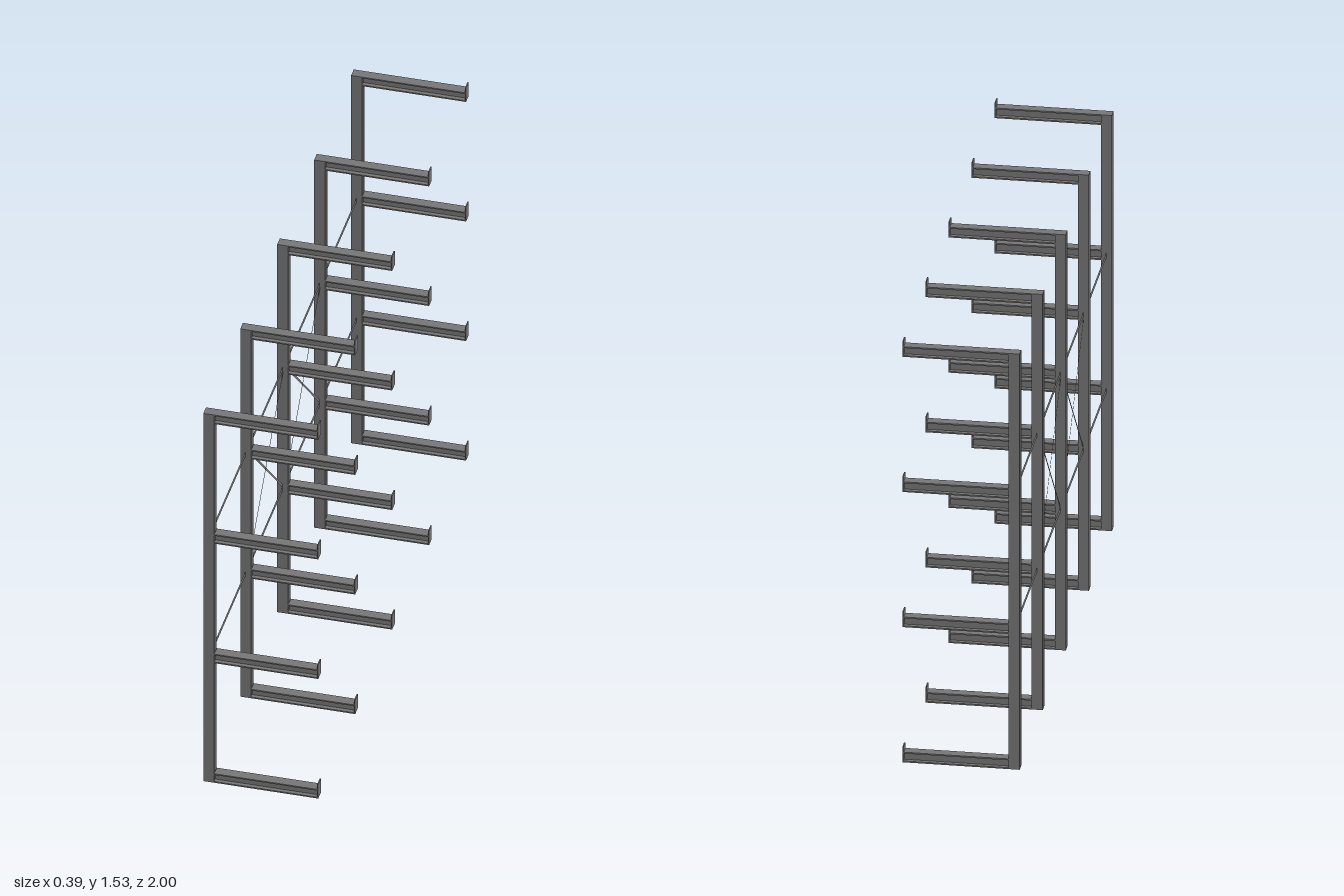
import * as THREE from 'three';

const steel = new THREE.MeshStandardMaterial({ color: 0x787878, flatShading: true });
const strip = new THREE.MeshStandardMaterial({ color: 0x787878, side: THREE.DoubleSide });
const HEIGHT = 1.512, SECTION = 0.037, WIDTH = 0.035, BAY = 0.491;
const BACK = -0.197, FRONT = 0.197, FLANGE = 0.005;
const COLUMN_X = BACK + SECTION / 2;

function box(name, w, h, d, x, y, z) {
  const mesh = new THREE.Mesh(new THREE.BoxGeometry(w, h, d), steel);
  mesh.name = name;
  mesh.position.set(x, y, z);
  return mesh;
}

// Thin flat strip lying in the plane of the columns, long side along z
function flatStrip(name, length, height, y, z) {
  const mesh = new THREE.Mesh(new THREE.PlaneGeometry(length, height).rotateY(Math.PI / 2), strip);
  mesh.name = name;
  mesh.position.set(COLUMN_X, y, z);
  return mesh;
}

// I-section with flanges at top and bottom of the y axis, extruded along z
function beamGeometry(width, depth, length) {
  const w = width / 2, h = depth / 2, t = 0.003, i = h - FLANGE;
  const shape = new THREE.Shape([
    [-w, -h], [w, -h], [w, -i], [t, -i], [t, i], [w, i],
    [w, h], [-w, h], [-w, i], [-t, i], [-t, -i], [-w, -i],
  ].map(([x, y]) => new THREE.Vector2(x, y)));
  return new THREE.ExtrudeGeometry(shape, { depth: length, bevelEnabled: false });
}

// Upright beam: flanges face the front and back
const columnGeometry = beamGeometry(SECTION, WIDTH, HEIGHT).rotateX(-Math.PI / 2);
// Arm beam: runs along +x with flanges above and below
const armStart = BACK + SECTION, armLength = FRONT - 0.004 - armStart;
const armGeometry = beamGeometry(WIDTH, SECTION, armLength).rotateY(Math.PI / 2);

function createFrame(z) {
  const frame = new THREE.Group();
  frame.name = 'uprightFrame';
  frame.position.z = z;

  const column = new THREE.Mesh(columnGeometry, steel);
  column.name = 'column';
  column.position.x = COLUMN_X;
  frame.add(column);
  for (const y of [0.0015, HEIGHT - 0.0015]) {
    frame.add(box('columnEndPlate', SECTION, 0.003, WIDTH, COLUMN_X, y, 0));
  }

  // Four cantilever arms, each with a raised stop at the tip
  for (let i = 0; i < 4; i++) {
    const bottom = i * (HEIGHT - SECTION) / 3;
    const arm = new THREE.Mesh(armGeometry, steel);
    arm.name = 'arm';
    arm.position.set(armStart, bottom + SECTION / 2, 0);
    frame.add(arm);
    frame.add(box('armStop', 0.004, 0.057, WIDTH, FRONT - 0.002, bottom + 0.0285, 0));
  }
  return frame;
}

export function createModel() {
  const rack = new THREE.Group();
  rack.name = 'cantileverRack';

  for (let i = -2; i <= 2; i++) rack.add(createFrame(i * BAY));

  // Horizontal rails linking the columns
  const low = 0.511, high = 1.003;
  for (const y of [low, high]) {
    for (let i = -2; i < 2; i++) {
      rack.add(flatStrip('rail', BAY - WIDTH, 0.018, y, (i + 0.5) * BAY));
    }
  }

  // Crossed flat braces in the two middle bays
  const rise = high - low - 0.015, run = BAY - WIDTH + 0.01;
  for (const side of [-1, 1]) {
    for (const slope of [-1, 1]) {
      const brace = flatStrip('crossBrace', Math.hypot(rise, run), 0.008,
        (low + high) / 2, side * BAY / 2);
      brace.position.x += slope * 0.001;
      brace.rotation.x = slope * Math.atan2(rise, run);
      rack.add(brace);
    }
  }
  return rack;
}
